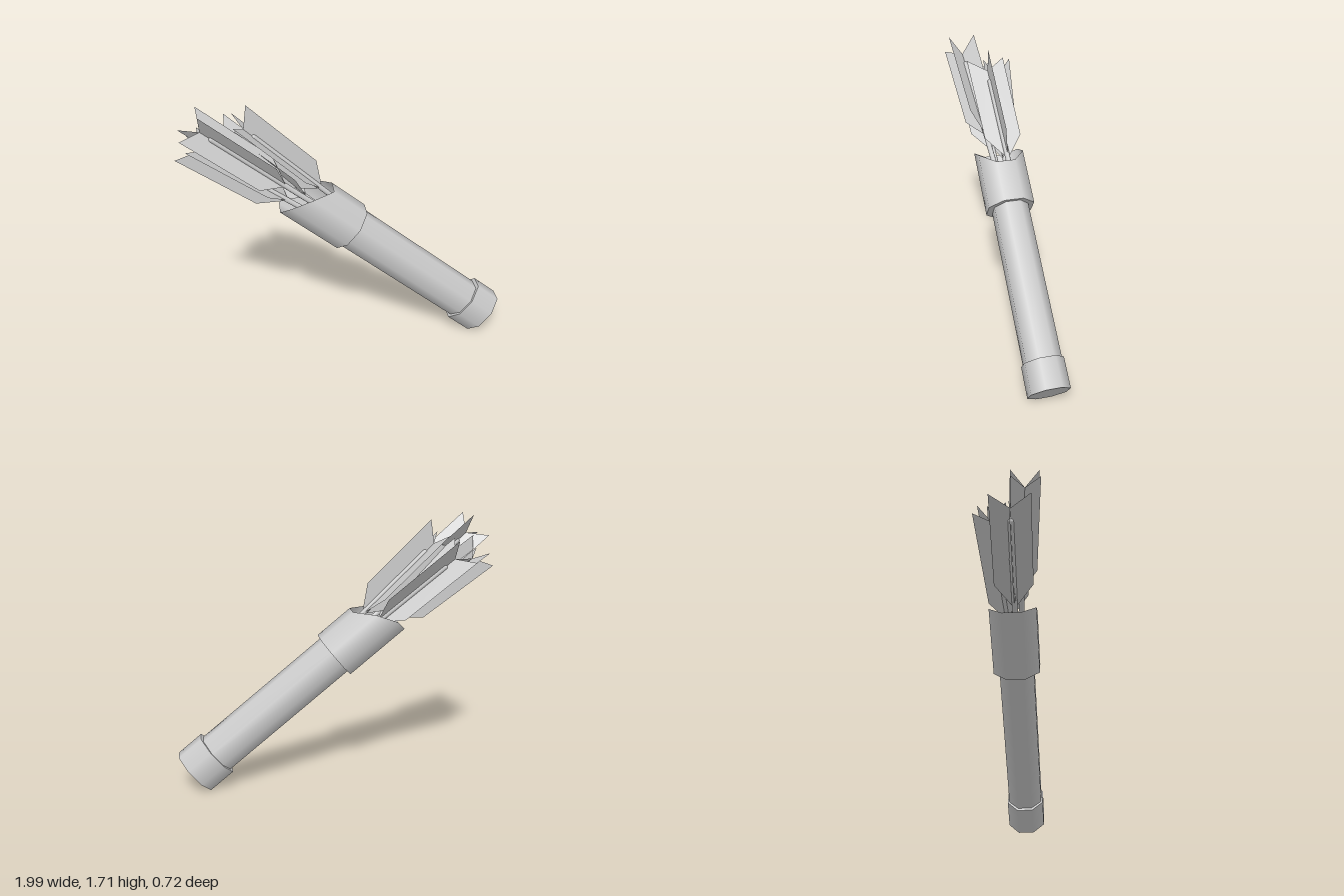
import * as THREE from 'three';

const grey = new THREE.MeshStandardMaterial({ color: 0xcccccc });
const greyThin = new THREE.MeshStandardMaterial({ color: 0xcccccc, side: THREE.DoubleSide });

// Group at a point whose local y runs along dir and local x points upward
function orientedGroup(name, pos, dir) {
  const group = new THREE.Group();
  group.name = name;
  const y = new THREE.Vector3(...dir).normalize();
  const x = new THREE.Vector3(0, 1, 0).addScaledVector(y, -y.y).normalize();
  const z = new THREE.Vector3().crossVectors(x, y);
  group.quaternion.setFromRotationMatrix(new THREE.Matrix4().makeBasis(x, y, z));
  group.position.set(...pos);
  return group;
}

function add(group, name, geometry, material = grey) {
  const mesh = new THREE.Mesh(geometry, material);
  mesh.name = name;
  group.add(mesh);
  return mesh;
}

// Eight-sided tube section from y0 to y1 with half axes rx and rz
function octagon(rx, rz, y0, y1, open) {
  return new THREE.CylinderGeometry(1, 1, y1 - y0, 8, 1, open, Math.PI / 8)
    .scale(rx, 1, rz).translate(0, (y0 + y1) / 2, 0);
}

function buildQuiver() {
  const quiver = orientedGroup('quiver', [0.9, 0.115, 0.24], [-0.753, 0.632, -0.181]);
  add(quiver, 'bottomCap', octagon(0.163, 0.128, 0, 0.185, false));
  add(quiver, 'tube', octagon(0.138, 0.117, 0.1, 1.25, true), greyThin);

  // Collar with a curved, slanted mouth
  const base = 1.165;
  const collar = octagon(0.163, 0.157, base, 1.5, true);
  const p = collar.attributes.position;
  for (let i = 0; i < p.count; i++) {
    const x = p.getX(i);
    if (p.getY(i) > 1.4) p.setY(i, 1.575 - 0.6 * x - 2.4 * x * x);
  }
  collar.computeBoundingSphere();
  add(quiver, 'collar', collar, greyThin);
  const rim = new THREE.RingGeometry(0.72, 1, 8, 1, Math.PI / 8)
    .rotateX(Math.PI / 2).scale(0.163, 1, 0.157).translate(0, base, 0);
  add(quiver, 'collarRim', rim, greyThin);
  return quiver;
}

// Feather outline: x is distance from the shaft, y runs along it, 0 at the nock
const feather = new THREE.ShapeGeometry(new THREE.Shape([
  [0, -0.52], [0.02, -0.52], [0.118, -0.39], [0.122, 0.165], [0.015, 0.09], [0, 0.08],
].map(([x, y]) => new THREE.Vector2(x, y))));

function buildArrow({ nock, dir, roll }) {
  const arrow = orientedGroup('arrow', nock, dir);
  const length = 0.8;
  add(arrow, 'shaft', new THREE.CylinderGeometry(0.017, 0.017, length, 8).translate(0, -length / 2, 0));
  add(arrow, 'nock', new THREE.SphereGeometry(0.017, 8, 4, 0, Math.PI * 2, 0, Math.PI / 2));
  for (let i = 0; i < 4; i++) {
    add(arrow, 'feather', feather, greyThin).rotation.y = roll + i * Math.PI / 2;
  }
  return arrow;
}

export function createModel() {
  const model = new THREE.Group();
  model.name = 'quiverWithArrows';
  model.add(buildQuiver());

  const arrows = [
    { nock: [-0.79, 1.54, -0.06], dir: [-0.76, 0.64, -0.1], roll: Math.PI / 4 },
    { nock: [-0.53, 1.49, -0.115], dir: [-0.71, 0.68, -0.135], roll: 0 },
    { nock: [-0.62, 1.405, -0.215], dir: [-0.72, 0.64, -0.27], roll: Math.PI / 4 },
    { nock: [-0.79, 1.39, -0.14], dir: [-0.79, 0.58, -0.17], roll: 0 },
  ];
  for (const a of arrows) model.add(buildArrow(a));
  return model;
}
